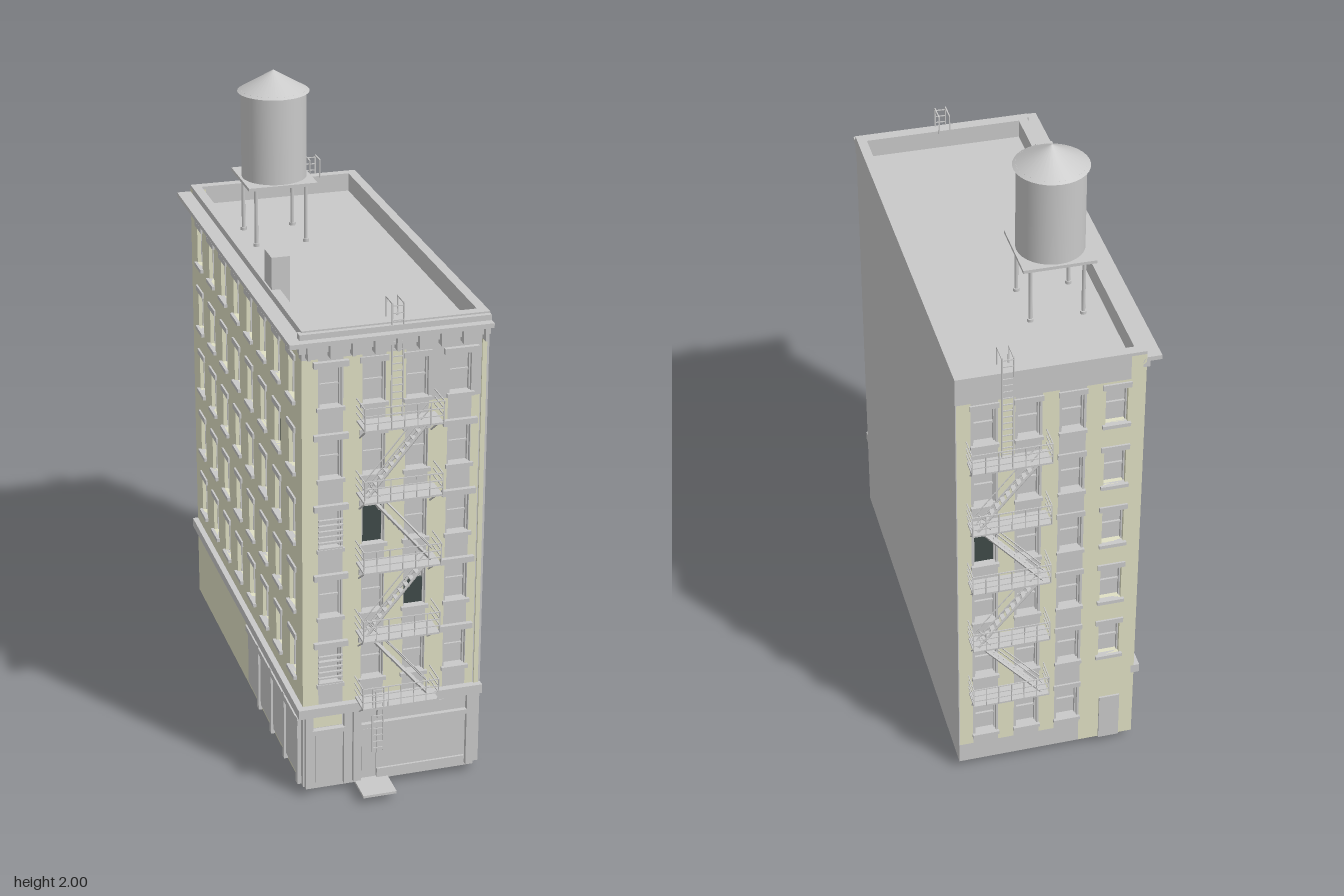
import * as THREE from 'three';

const mat = (name, color) => {
  const m = new THREE.MeshStandardMaterial({ color });
  m.name = name;
  return m;
};

export function createModel() {
  const grey = mat('stone grey', 0xc9c9c9);
  const cream = mat('cream brick', 0xdfdfc3);
  const dark = mat('dark glass', 0x3f4a48);

  const model = new THREE.Group();
  model.name = 'cornerApartmentBuilding';

  const group = (name, parent) => {
    const g = new THREE.Group();
    g.name = name;
    parent.add(g);
    return g;
  };
  const add = (parent, name, geo, m) => {
    const mesh = new THREE.Mesh(geo, m);
    mesh.name = name;
    parent.add(mesh);
    return mesh;
  };
  // Box given by its limits on each axis
  const box = (parent, name, x0, x1, y0, y1, z0, z1, m = grey) => {
    const b = add(parent, name, new THREE.BoxGeometry(x1 - x0, y1 - y0, z1 - z0), m);
    b.position.set((x0 + x1) / 2, (y0 + y1) / 2, (z0 + z1) / 2);
    return b;
  };
  // Thin square bar between two points
  const zAxis = new THREE.Vector3(0, 0, 1);
  const bar = (parent, name, a, b, t = 0.004) => {
    const p = new THREE.Vector3(...a), q = new THREE.Vector3(...b);
    const mesh = add(parent, name, new THREE.BoxGeometry(t, t, p.distanceTo(q)), grey);
    mesh.position.copy(p).add(q).multiplyScalar(0.5);
    mesh.quaternion.setFromUnitVectors(zAxis, q.sub(p).normalize());
  };

  // Solid core, foundation, roof parapet on the blank side
  box(model, 'foundation', -0.23, 0.27, 0, 0.03, -0.65, 0.62);
  box(model, 'core', -0.23, 0.30, 0.03, 1.46, -0.655, 0.62);
  box(model, 'rightParapet', 0.27, 0.30, 1.46, 1.52, -0.655, 0.62);

  const TOP = 1.52, W = 0.066, H = 0.125;
  const rows = [1.28, 1.055, 0.83, 0.605, 0.38];

  // Wall strip with rectangular openings; local +z points outwards
  function strip(wall, u0, u1, y0, y1, m, openings) {
    const rect = (P, a, b, c, d) => {
      const p = new P();
      p.moveTo(a, c); p.lineTo(b, c); p.lineTo(b, d); p.lineTo(a, d); p.closePath();
      return p;
    };
    const shape = rect(THREE.Shape, u0, u1, y0, y1);
    for (const [u, y] of openings) {
      if (u > u0 && u < u1 && y > y0 && y < y1) {
        shape.holes.push(rect(THREE.Path, u - W / 2, u + W / 2, y, y + H));
      }
    }
    const geo = new THREE.ExtrudeGeometry(shape, { depth: 0.03, bevelEnabled: false });
    add(wall, 'wallStrip', geo, m).position.z = -0.03;
  }

  // Sash window: panes, frame, sill and lintel; darkPart is the share of dark glass
  function windowAt(wall, u, y, darkPart, wide) {
    const g = group('window', wall);
    g.position.set(u, y, 0);
    const w = W / 2, s = wide ? 0.052 : 0.043;
    box(g, 'pane', -w, w, 0, H, -0.03, -0.024);
    if (darkPart) box(g, 'darkPane', -w + 0.004, w - 0.004, 0, H * darkPart, -0.024, -0.016, dark);
    box(g, 'meetingRail', -w, w, H / 2 - 0.003, H / 2 + 0.003, -0.024, -0.017);
    for (const k of [-1, 1]) {
      box(g, 'frameSide', k * (w - 0.002) - 0.002, k * (w - 0.002) + 0.002, 0, H, -0.024, -0.012);
    }
    box(g, 'sill', -0.042, 0.042, -0.012, 0, -0.01, 0.01);
    box(g, 'lintel', -s, s, H, H + 0.018, -0.01, wide ? 0.014 : 0.006);
  }

  const place = (name, x, z, turn) => {
    const w = group(name, model);
    w.position.set(x, 0, z);
    w.rotation.y = turn;
    return w;
  };
  const grid = (cols, ys) => ys.flatMap((y) => cols.map((u) => [u, y]));

  // Front wall: cream piers between grey window bays
  const front = place('frontWall', 0, 0.65, 0);
  const cols = [-0.175, -0.045, 0.085, 0.215];
  const frontHoles = grid(cols, rows);
  const edges = [-0.26, -0.212, -0.137, -0.08, -0.01, 0.05, 0.12, 0.178, 0.25, 0.275];
  for (let i = 0; i < edges.length - 1; i++) {
    const split = edges[i] > 0.04 ? 1.265 : 1.43;
    strip(front, edges[i], edges[i + 1], 0.30, split, i % 2 ? grey : cream, frontHoles);
    strip(front, edges[i], edges[i + 1], split, TOP, grey, frontHoles);
  }
  strip(front, 0.275, 0.30, 0.03, TOP, grey, []);
  box(front, 'cornerStripe', 0.278, 0.292, 0.31, 1.44, 0, 0.005, cream);
  strip(front, -0.26, 0.275, 0.03, 0.30, grey, []);
  const frontDark = { 9: 1, 14: 0.65 };
  frontHoles.forEach(([u, y], i) => windowAt(front, u, y, frontDark[i], i % 4 === 0 || i % 4 === 3));
  for (const y of [rows[2], rows[4]]) {
    for (let k = 0; k < 6; k++) {
      box(front, 'windowSlat', -0.212, -0.138, y + k * 0.018, y + k * 0.018 + 0.005, 0, 0.008);
    }
  }

  // Street-level shopfront
  for (const x of [-0.255, -0.135, -0.105, 0.255]) box(front, 'pilaster', x, x + 0.024, 0.03, 0.28, 0, 0.015);
  box(front, 'entryDoor', -0.222, -0.145, 0.04, 0.215, 0, 0.006);
  box(front, 'doorHead', -0.235, -0.132, 0.215, 0.23, 0, 0.018);
  box(front, 'creamPanel', -0.23, -0.14, 0.235, 0.272, 0, 0.006, cream);
  box(front, 'signBand', -0.03, 0.18, 0.24, 0.275, 0, 0.016);
  box(front, 'shopHead', -0.08, 0.255, 0.21, 0.225, 0, 0.014);
  box(front, 'shopSill', -0.03, 0.25, 0.03, 0.062, 0, 0.012);
  box(front, 'shopGlass', -0.03, 0.25, 0.062, 0.21, 0, 0.005);
  box(front, 'shopDoor', -0.078, -0.036, 0.035, 0.205, 0, 0.007);
  box(front, 'cellarHatch', -0.10, 0.005, 0.024, 0.032, 0, 0.103);

  // Left wall: cream with eight window bays
  const left = place('leftWall', -0.26, 0, -Math.PI / 2);
  const leftCols = Array.from({ length: 8 }, (_, i) => -0.57 + i * 0.159);
  const leftHoles = grid(leftCols, rows);
  strip(left, -0.655, 0.62, 0.03, 1.45, cream, leftHoles);
  strip(left, -0.655, 0.62, 1.45, TOP, grey, []);
  leftHoles.forEach(([u, y], i) => windowAt(left, u, y, [9, 14, 18].includes(i) ? 1 : 0, false));
  for (let k = 0; k < 4; k++) {
    const u = 0.02 + k * 0.153;
    box(left, 'sideShopPanel', u, u + 0.13, 0.05, 0.235, 0, 0.006);
    box(left, 'sideShopPost', u + 0.13, u + 0.15, 0.03, 0.26, 0, 0.012);
  }
  box(left, 'sideShopHead', 0.01, 0.63, 0.235, 0.255, 0, 0.012);

  // Back wall: the same bays plus a ground-floor row and door
  const back = place('backWall', 0, -0.685, Math.PI);
  const backCols = [-0.215, -0.085, 0.045, 0.175];
  const backHoles = [...grid(backCols, rows), ...grid(backCols.slice(0, 3), [0.14])];
  const backEdges = [-0.297, -0.255, -0.175, -0.125, -0.045, 0.005, 0.085, 0.135, 0.215, 0.26];
  for (let i = 0; i < backEdges.length - 1; i++) {
    const [a, b] = [backEdges[i], backEdges[i + 1]];
    strip(back, a, b, 0.10, 1.43, i % 2 && i < 7 ? grey : cream, backHoles);
    strip(back, a, b, 0.03, 0.10, i < 6 ? grey : cream, []);
    strip(back, a, b, 1.43, 1.51, i < 8 ? grey : cream, []);
  }
  strip(back, -0.30, -0.297, 0.03, 1.51, grey, []);
  strip(back, -0.30, 0.26, 1.51, TOP, grey, []);
  backHoles.forEach(([u, y], i) => windowAt(back, u, y, i === 8 ? 1 : 0, false));
  box(back, 'backDoor', 0.15, 0.215, 0.03, 0.2, 0, 0.006);

  // Roof cornice and belt course along the two street sides
  const cornice = group('cornice', model);
  box(cornice, 'frontCornice', -0.305, 0.30, 1.484, 1.498, 0.64, 0.69);
  box(cornice, 'leftCornice', -0.305, -0.25, 1.484, 1.498, -0.685, 0.64);
  box(cornice, 'frontCrown', -0.27, 0.30, 1.498, 1.515, 0.64, 0.665);
  box(cornice, 'frontBedMould', -0.27, 0.30, 1.455, 1.484, 0.64, 0.662);
  box(cornice, 'leftBedMould', -0.27, -0.25, 1.465, 1.484, -0.685, 0.64);
  for (let k = 0; k < 9; k++) {
    const x = -0.25 + k * 0.066;
    box(cornice, 'bracket', x, x + 0.01, 1.44, 1.484, 0.65, 0.68);
  }
  const belt = group('beltCourse', model);
  box(belt, 'frontBelt', -0.278, 0.30, 0.28, 0.31, 0.64, 0.672);
  box(belt, 'leftBelt', -0.278, -0.25, 0.28, 0.31, -0.685, 0.64);

  // Ladder in the plane z, rising from y0 to y1
  function ladder(parent, x, y0, y1, z) {
    for (const k of [-0.017, 0.017]) bar(parent, 'ladderRail', [x + k, y0, z], [x + k, y1, z]);
    for (let y = y0 + 0.012; y < y1; y += 0.022) {
      bar(parent, 'rung', [x - 0.017, y, z], [x + 0.017, y, z], 0.003);
    }
  }

  // Fire escape: balconies, zigzag stairs and a roof ladder
  function fireEscape(wall, cx, d) {
    const g = group('fireEscape', wall);
    g.position.x = cx;
    const levels = [0.32, 0.547, 0.774, 1.0, 1.227], w = 0.118;
    levels.forEach((y, i) => {
      box(g, 'balconyFloor', -w, w, y - 0.003, y + 0.003, 0.004, d);
      for (const h of [0.025, 0.047, 0.07]) {
        bar(g, 'rail', [-w, y + h, d], [w, y + h, d], 0.003);
        for (const x of [-w, w]) bar(g, 'endRail', [x, y + h, 0], [x, y + h, d], 0.003);
      }
      for (let k = 0; k <= 6; k++) {
        const x = -w + k * w / 3;
        bar(g, 'post', [x, y, d], [x, y + 0.07, d], 0.003);
      }
      for (const x of [-w + 0.01, w - 0.01]) bar(g, 'balconyBrace', [x, y - 0.055, 0], [x, y, d - 0.01]);
      // Flight up to the next balcony, alternating direction
      if (i < levels.length - 1) {
        const s = i % 2 ? -1 : 1, a = [0.1 * s, y], b = [-0.09 * s, levels[i + 1]];
        for (const z of [0.022, 0.052]) {
          bar(g, 'stairStringer', [...a, z], [...b, z], 0.006);
          bar(g, 'handrail', [a[0], a[1] + 0.04, z], [b[0], b[1] + 0.04, z], 0.003);
        }
        for (let k = 1; k < 12; k++) {
          const x = a[0] + (b[0] - a[0]) * k / 12, ty = a[1] + (b[1] - a[1]) * k / 12;
          box(g, 'tread', x - 0.007, x + 0.007, ty - 0.0015, ty + 0.0015, 0.022, 0.052);
        }
      }
    });
    ladder(g, 0, 1.23, 1.58, 0.012);
    for (const k of [-0.017, 0.017]) {
      bar(g, 'ladderHook', [k, 1.58, 0.012], [k, 1.58, -0.045]);
      bar(g, 'ladderHookEnd', [k, 1.58, -0.045], [k, 1.52, -0.045]);
    }
    return g;
  }
  const frontEscape = fireEscape(front, 0.02, 0.086);
  ladder(frontEscape, -0.07, 0.17, 0.39, 0.082);
  fireEscape(back, -0.15, 0.068);

  // Chimney
  box(model, 'chimney', -0.255, -0.20, 1.46, 1.62, 0.235, 0.315);

  // Water tank on a legged platform
  const tank = group('waterTank', model);
  tank.position.set(-0.08, 0, -0.30);
  box(tank, 'platform', -0.11, 0.11, 1.65, 1.66, -0.11, 0.11);
  for (const x of [-0.08, 0.08]) {
    for (const z of [-0.08, 0.08]) {
      add(tank, 'leg', new THREE.CylinderGeometry(0.006, 0.006, 0.19, 8), grey).position.set(x, 1.555, z);
      add(tank, 'foot', new THREE.CylinderGeometry(0.01, 0.01, 0.01, 8), grey).position.set(x, 1.465, z);
    }
  }
  add(tank, 'barrel', new THREE.CylinderGeometry(0.102, 0.102, 0.28, 32), grey).position.y = 1.80;
  add(tank, 'tankRoof', new THREE.ConeGeometry(0.112, 0.066, 32), grey).position.y = 1.967;

  return model;
}
